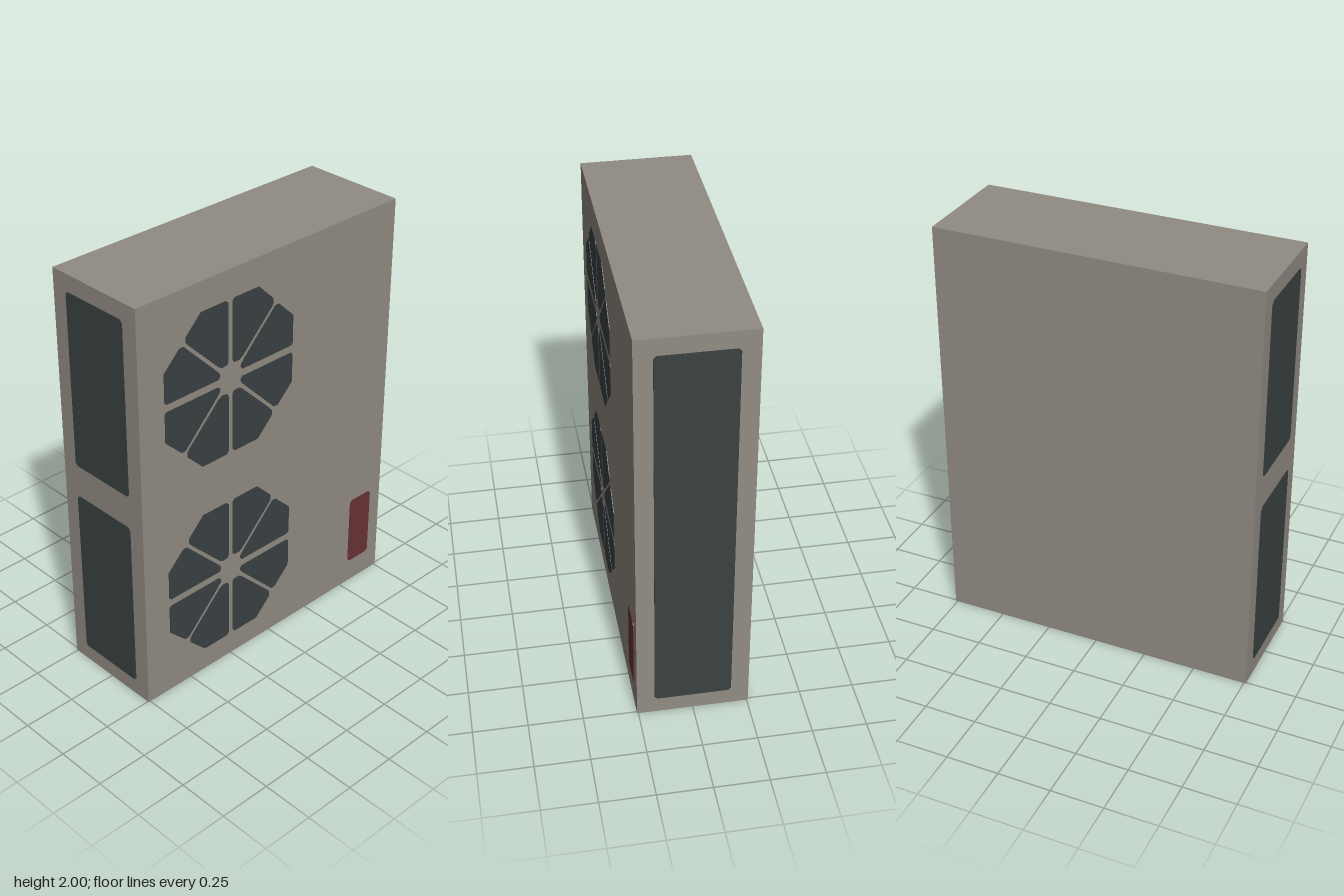
import * as THREE from 'three';

const body = new THREE.MeshStandardMaterial({ name: 'warm grey casing', color: 0x928c82 });
const dark = new THREE.MeshStandardMaterial({ name: 'dark grille', color: 0x3b4243 });
const red = new THREE.MeshStandardMaterial({ name: 'dull red label', color: 0x6a3333 });

const THICK = 0.003;
const HALF_X = 0.76, HALF_Z = 0.256;

function plate(name, points, material) {
  const shape = new THREE.Shape(points.map(([x, y]) => new THREE.Vector2(x, y)));
  const mesh = new THREE.Mesh(
    new THREE.ExtrudeGeometry(shape, { depth: THICK, bevelEnabled: false }), material);
  mesh.name = name;
  return mesh;
}

// Rectangle with small cut corners, centred on its origin
function panelPoints(w, h, c = 0.012) {
  const x = w / 2, y = h / 2;
  return [[-x + c, -y], [x - c, -y], [x, -y + c], [x, y - c],
    [x - c, y], [-x + c, y], [-x, y - c], [-x, -y + c]];
}

// Two grille openings of one quadrant: one beside the horizontal spoke, one beside the vertical
const sideWedge = [[0.07, 0.018], [0.362, 0.018], [0.372, 0.028], [0.372, 0.165], [0.285, 0.25],
  [0.262, 0.25], [0.245, 0.232], [0.085, 0.07], [0.063, 0.045], [0.06, 0.03]];
const topWedge = [[0.012, 0.085], [0.02, 0.07], [0.05, 0.068], [0.07, 0.08], [0.24, 0.25],
  [0.25, 0.265], [0.25, 0.288], [0.165, 0.373], [0.025, 0.373], [0.012, 0.36]];

function fanGrille(name, y) {
  const grille = new THREE.Group();
  grille.name = name;
  for (const sx of [1, -1]) {
    for (const sy of [1, -1]) {
      for (const wedge of [sideWedge, topWedge]) {
        grille.add(plate('grilleOpening', wedge.map(([px, py]) => [px * sx, py * sy]), dark));
      }
    }
  }
  grille.position.set(-0.25, y, HALF_Z);
  return grille;
}

export function createModel() {
  const model = new THREE.Group();
  model.name = 'outdoorUnit';

  // Casing
  const casing = new THREE.Mesh(new THREE.BoxGeometry(HALF_X * 2, 2, HALF_Z * 2), body);
  casing.name = 'casing';
  casing.position.y = 1;
  model.add(casing);

  // Fan grilles and label on the front
  model.add(fanGrille('upperFanGrille', 1.49), fanGrille('lowerFanGrille', 0.49));
  const label = plate('label', panelPoints(0.14, 0.36), red);
  label.position.set(0.62, 0.3, HALF_Z);
  model.add(label);

  // One tall vent on the left side, two shorter ones on the right
  const vents = [['leftVent', 1, 1.0, 1.84], ['rightUpperVent', -1, 1.5, 0.84], ['rightLowerVent', -1, 0.5, 0.84]];
  for (const [name, side, y, height] of vents) {
    const vent = plate(name, panelPoints(0.35, height), dark);
    vent.rotation.y = side * Math.PI / 2;
    vent.position.set(side * HALF_X, y, 0);
    model.add(vent);
  }
  return model;
}
